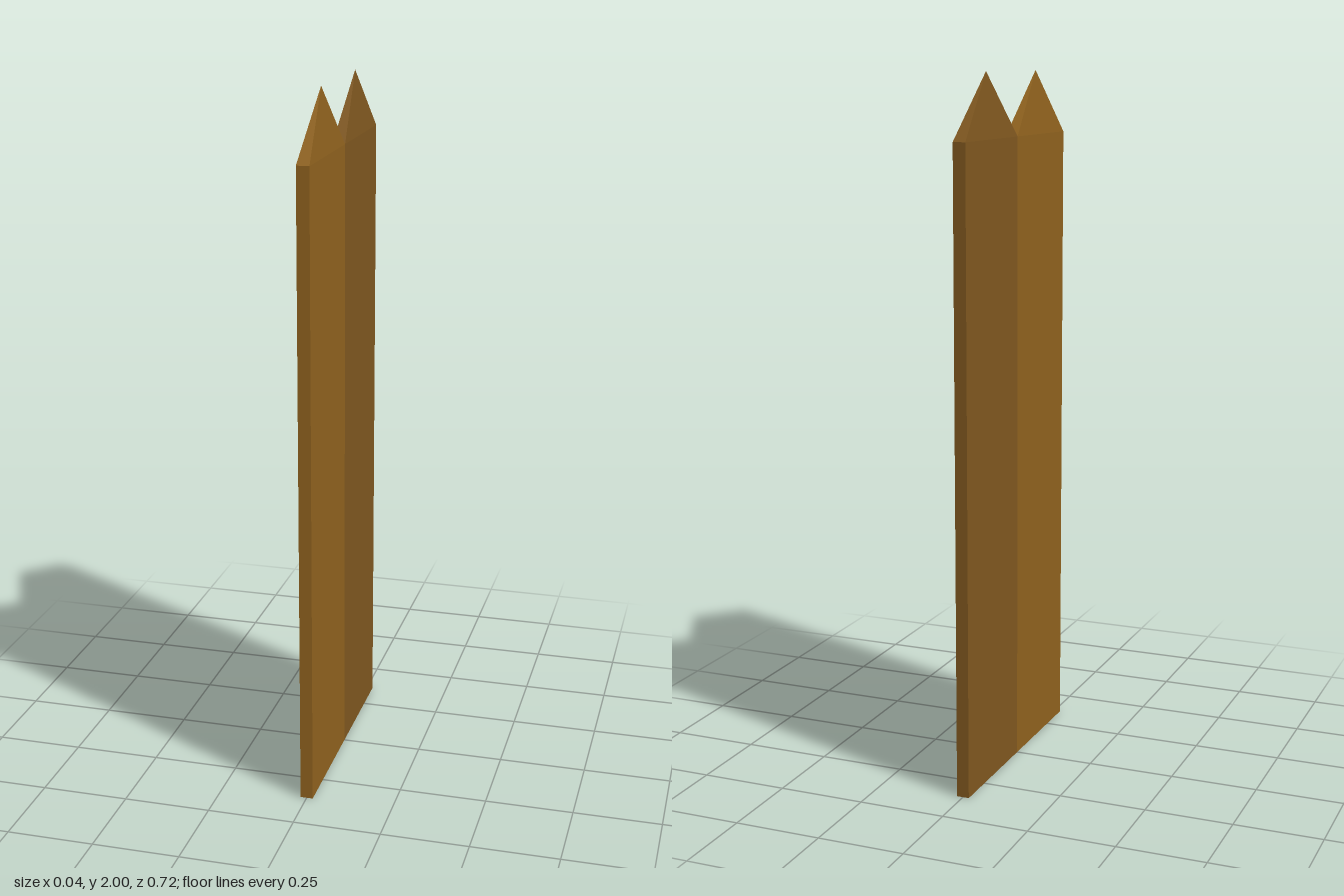
import * as THREE from 'three';

const WIDTH = 0.362, THICKNESS = 0.036, SHOULDER = 1.82, HEIGHT = 2;

// Square post of unit side with a pyramid tip, squashed into a thin plank
function makePlank(name, z, color) {
  const r = Math.SQRT1_2;
  const profile = [[0, 0], [r, 0], [r, SHOULDER], [0, HEIGHT]].map(([x, y]) => new THREE.Vector2(x, y));
  const geometry = new THREE.LatheGeometry(profile, 4, Math.PI / 4)
    .scale(THICKNESS, 1, WIDTH)
    .toNonIndexed();
  geometry.computeVertexNormals();
  const plank = new THREE.Mesh(geometry, new THREE.MeshStandardMaterial({ color, flatShading: true }));
  plank.name = name;
  plank.position.z = z;
  return plank;
}

export function createModel() {
  const group = new THREE.Group();
  group.name = 'pointedPlanks';
  // Two planks side by side, each a slightly different brown
  group.add(
    makePlank('frontPlank', WIDTH / 2, 0x8f621e),
    makePlank('backPlank', -WIDTH / 2, 0x7f571f),
  );
  return group;
}
